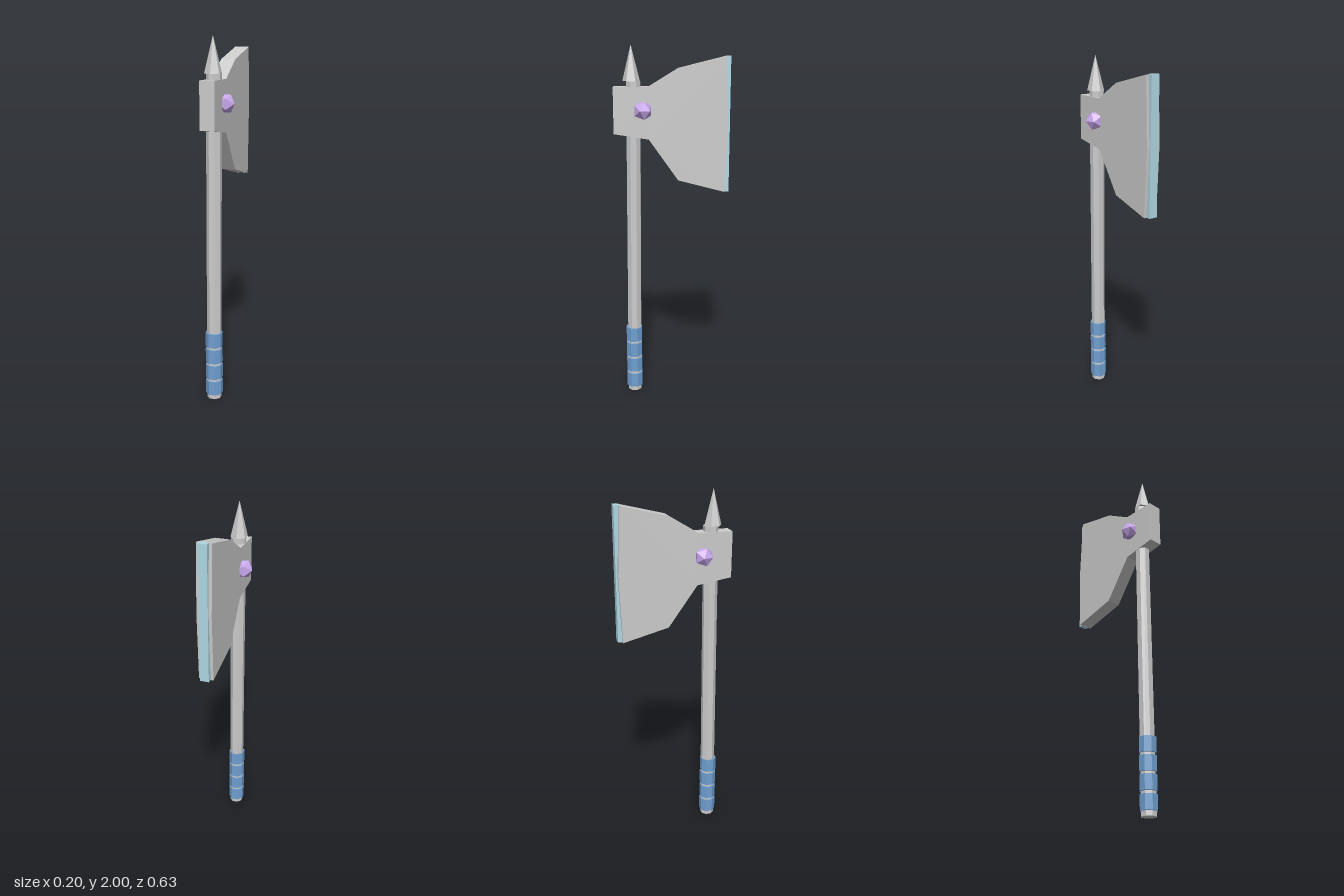
import * as THREE from 'three';

const material = (color) => new THREE.MeshStandardMaterial({ color, flatShading: true });

export function createModel() {
  const group = new THREE.Group();
  const grey = material(0xcccccc);
  const blue = material(0x6f9fd0);
  const ice = material(0xb0d8e4);
  const violet = material(0xc8a8ec);

  const add = (name, geometry, mat, x, y, z) => {
    const mesh = new THREE.Mesh(geometry, mat);
    mesh.name = name;
    mesh.position.set(x, y, z);
    group.add(mesh);
    return mesh;
  };

  // Shaft, leaning very slightly towards the cutting edge
  const shaftZ = (y) => 0.221 - 0.008 * y;
  const shaft = new THREE.CylinderGeometry(0.041, 0.041, 1.81, 8);
  shaft.rotateY(Math.PI / 8);
  shaft.translate(0, 0.905, 0);
  const p = shaft.attributes.position;
  for (let i = 0; i < p.count; i++) p.setZ(i, p.getZ(i) + shaftZ(p.getY(i)));
  add('shaft', shaft, grey, 0, 0, 0);

  // Grip wraps
  for (let i = 0; i < 4; i++) {
    const y = 0.067 + i * 0.0963;
    const wrap = new THREE.CylinderGeometry(0.048, 0.048, 0.081, 8);
    wrap.rotateY(Math.PI / 8);
    add('gripWrap', wrap, blue, 0, y, 0.221);
  }

  // Axe head: profile drawn as (z, y), extruded across x
  const profile = [
    [0.315, 1.78], [0.125, 1.78], [-0.035, 1.877], [-0.29, 1.94], [-0.305, 1.575],
    [-0.29, 1.21], [-0.035, 1.275], [0.125, 1.5], [0.315, 1.53],
  ];
  const shape = new THREE.Shape(profile.map(([z, y]) => new THREE.Vector2(-z, y)));
  const head = new THREE.ExtrudeGeometry(shape, { depth: 0.08, bevelEnabled: false });
  head.translate(0, 0, -0.04);
  head.rotateY(Math.PI / 2);
  add('axeHead', head, grey, 0, 0, 0);

  // Cutting edge strip
  add('cuttingEdge', new THREE.BoxGeometry(0.048, 0.732, 0.03), ice, 0, 1.576, -0.3);

  // Top spike
  add('spike', new THREE.ConeGeometry(0.047, 0.19, 6), grey, 0, 1.905, 0.218);

  // Gem on each cheek
  for (const side of [-1, 1]) {
    const gem = add('gem', new THREE.IcosahedronGeometry(0.054, 0), violet, side * 0.047, 1.656, 0.156);
    gem.rotation.y = side > 0 ? 0.3 : Math.PI + 0.3;
  }

  return group;
}
